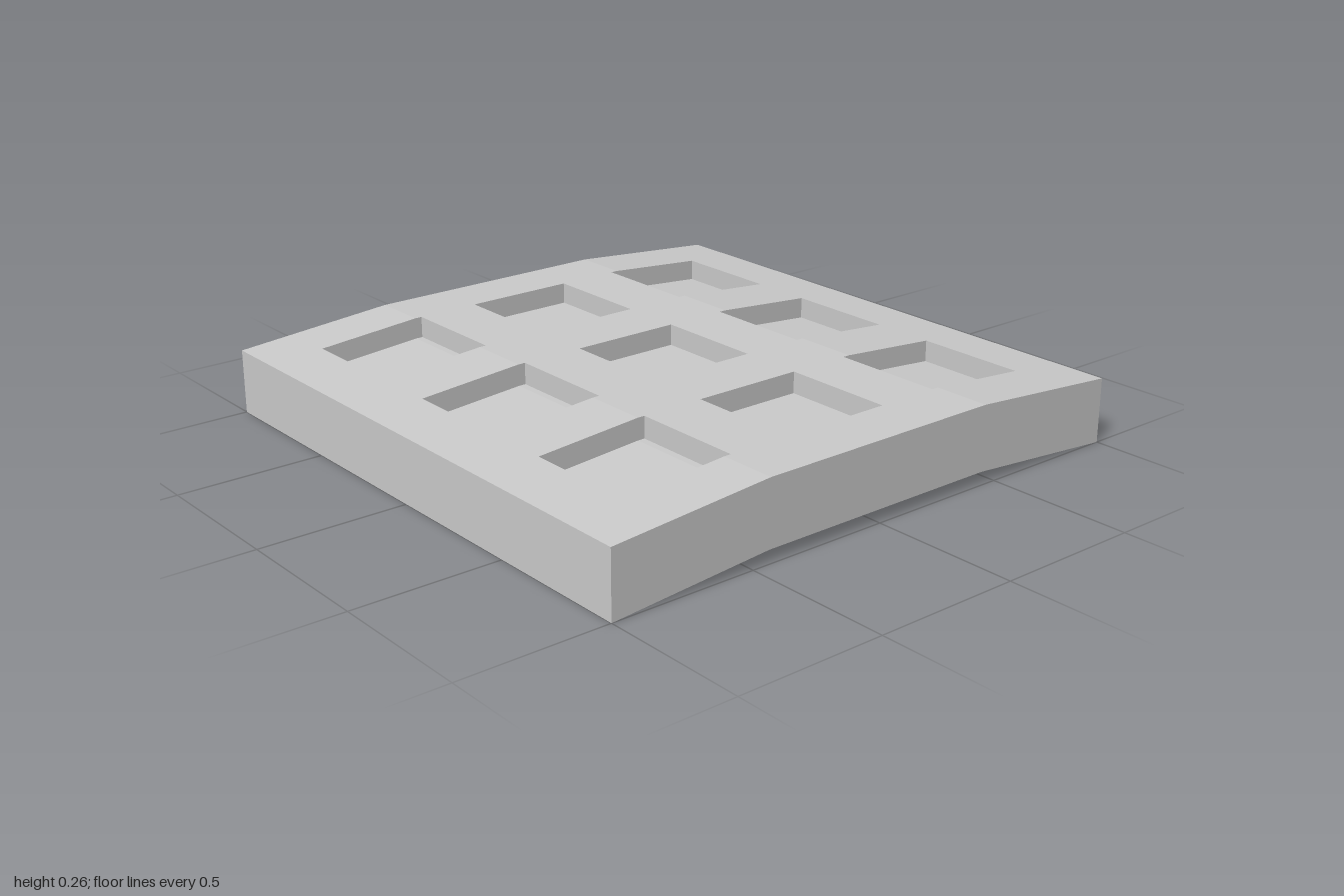
import * as THREE from 'three';

const THICK = 0.22, DEPTH = 0.073, RISE = 0.045, KINK = 0.44;
const POCKETS = [[-0.805, -0.415], [-0.195, 0.195], [0.415, 0.805]];

// Underside height: flat in the middle, sloping down to both sides
const bend = (x) => RISE * (1 - Math.max(0, (Math.abs(x) - KINK) / (1 - KINK)));
const inPocket = (v) => POCKETS.some(([a, b]) => v > a && v < b);

export function createModel() {
  const zs = [-1, ...POCKETS.flat(), 1];
  const xs = [...zs, -KINK, KINK].sort((a, b) => a - b);
  const pos = [];
  const quad = (a, b, c, d) => pos.push(...a, ...b, ...c, ...a, ...c, ...d);
  const at = (x, h, z) => [x, bend(x) + h, z];

  // Recess depth of a grid cell; null outside the plate
  const recess = (i, j) => {
    if (i < 0 || j < 0 || i >= xs.length - 1 || j >= zs.length - 1) return null;
    const x = (xs[i] + xs[i + 1]) / 2, z = (zs[j] + zs[j + 1]) / 2;
    return inPocket(x) && inPocket(z) ? DEPTH : 0;
  };

  for (let i = 0; i < xs.length - 1; i++) {
    for (let j = 0; j < zs.length - 1; j++) {
      const [x0, x1, z0, z1] = [xs[i], xs[i + 1], zs[j], zs[j + 1]];
      const r = recess(i, j), lo = r, hi = THICK - r;
      // Top and bottom faces, including pocket floors
      quad(at(x0, hi, z0), at(x0, hi, z1), at(x1, hi, z1), at(x1, hi, z0));
      quad(at(x0, lo, z0), at(x1, lo, z0), at(x1, lo, z1), at(x0, lo, z1));
      // Outer sides and pocket walls, each facing out of this cell
      const sides = [
        [1, 0, x1, z1, x1, z0], [-1, 0, x0, z0, x0, z1],
        [0, 1, x0, z1, x1, z1], [0, -1, x1, z0, x0, z0],
      ];
      for (const [di, dj, ax, az, bx, bz] of sides) {
        const wall = (h0, h1) => quad(at(ax, h0, az), at(bx, h0, bz), at(bx, h1, bz), at(ax, h1, az));
        const n = recess(i + di, j + dj);
        if (n === null) wall(lo, hi);
        else if (n > r) {
          wall(THICK - n, hi);
          wall(lo, n);
        }
      }
    }
  }

  const geometry = new THREE.BufferGeometry();
  geometry.setAttribute('position', new THREE.Float32BufferAttribute(pos, 3));
  geometry.computeVertexNormals();
  const plate = new THREE.Mesh(geometry, new THREE.MeshStandardMaterial({ color: 0xcccccc, flatShading: true }));
  plate.name = 'pocketedPlate';

  const group = new THREE.Group();
  group.name = 'bentPanel';
  group.add(plate);
  return group;
}
